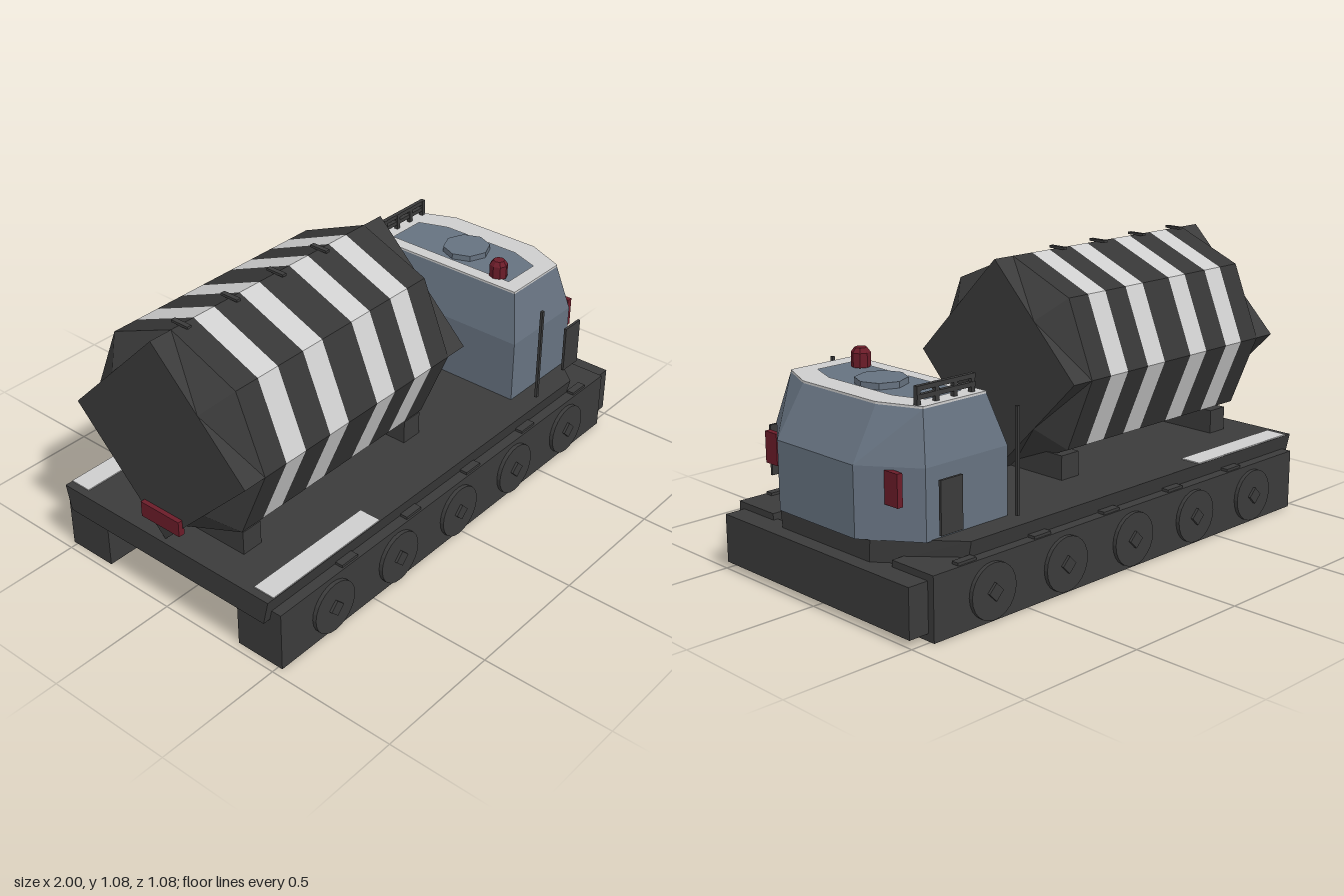
import * as THREE from 'three';
import { ConvexGeometry } from 'three/addons/geometries/ConvexGeometry.js';

const material = (name, color) =>
  Object.assign(new THREE.MeshStandardMaterial({ color, flatShading: true }), { name });

export function createModel() {
  const model = new THREE.Group();
  const dark = material('charcoal', 0x3b3b3b);
  const band = material('dark band', 0x363636);
  const light = material('light grey', 0xcecece);
  const blue = material('slate blue', 0x667280);
  const red = material('dark red', 0x6b1c29);

  const add = (name, geometry, mat) => {
    const mesh = new THREE.Mesh(geometry, mat);
    mesh.name = name;
    model.add(mesh);
    return mesh;
  };
  // Box given by its limits on each axis
  const box = (name, mat, x0, x1, y0, y1, z0, z1) => {
    const mesh = add(name, new THREE.BoxGeometry(x1 - x0, y1 - y0, z1 - z0), mat);
    mesh.position.set((x0 + x1) / 2, (y0 + y1) / 2, (z0 + z1) / 2);
  };
  const bothSides = (name, mat, x0, x1, y0, y1, z0, z1) => {
    box(name + 'Left', mat, x0, x1, y0, y1, z0, z1);
    box(name + 'Right', mat, x0, x1, y0, y1, -z1, -z0);
  };
  // Outline symmetric in z, from half of its corners [x, z]
  const outline = half => [...half, ...half.slice().reverse().map(([x, z]) => [x, -z])]
    .map(([x, z]) => new THREE.Vector2(x, z));
  const level = (half, y) => outline(half).map(p => new THREE.Vector3(p.x, y, p.y));

  // Chassis: tapered deck with chamfered nose, bumper and track housings
  add('deck', new ConvexGeometry([
    ...level([[-1, 0.49], [0.73, 0.49], [0.945, 0.24]], 0.288),
    ...level([[-1, 0.468], [0.73, 0.468], [0.943, 0.232]], 0.19)]), dark);
  box('bumper', dark, 0.9, 1, 0.027, 0.206, -0.49, 0.49);
  bothSides('track', dark, -0.97, 0.92, 0, 0.23, 0.318, 0.517);
  bothSides('deckPanel', light, -0.97, -0.435, 0.286, 0.292, 0.402, 0.488);

  // Wheels with square hubs, and small catches above them
  for (let i = 0; i < 5; i++) {
    const x = -0.717 + i * 0.346;
    for (const side of [1, -1]) {
      const wheel = add('wheel', new THREE.CylinderGeometry(0.1, 0.1, 0.02, 24), dark);
      wheel.rotation.x = Math.PI / 2;
      wheel.position.set(x, 0.11, side * 0.522);
      const hub = add('hub', new THREE.CylinderGeometry(0.032, 0.032, 0.012, 4), dark);
      hub.rotation.x = Math.PI / 2;
      hub.position.set(x, 0.11, side * 0.536);
    }
    bothSides('catch', dark, x + 0.06, x + 0.14, 0.225, 0.24, 0.48, 0.51);
  }

  // Octagonal tank: striped rings along x
  const radius = 0.392, axisY = 0.68;
  const edges = [-0.89, -0.79, -0.697, -0.578, -0.484, -0.337, -0.243, -0.134, -0.043, 0.055];
  const ring = (name, mat, x0, x1, start, segments) => {
    const geometry = new THREE.CylinderGeometry(radius, radius, x1 - x0, segments, 1, true,
      start, segments * Math.PI / 4);
    geometry.rotateZ(Math.PI / 2);
    add(name, geometry, mat).position.set((x0 + x1) / 2, axisY, 0);
  };
  for (let i = 0; i < edges.length - 1; i++) {
    const stripe = i % 2 === 1;
    ring('tankBand', stripe ? light : band, edges[i], edges[i + 1], -Math.PI / 4, 6);
    ring('tankBelly', stripe ? blue : band, edges[i], edges[i + 1], Math.PI * 1.25, 2);
  }

  // Tank ends: the octagon folds in to a square end face standing on its corner
  const tankEnd = (inner, outer) => {
    const positions = [];
    const at = (x, k, r) => [x, axisY + r * Math.sin(k * Math.PI / 4), r * Math.cos(k * Math.PI / 4)];
    const triangle = (a, b, c) =>
      positions.push(...a, ...(outer < inner ? [...b, ...c] : [...c, ...b]));
    const centre = [outer, axisY, 0];
    for (let k = 1; k < 8; k += 2) {
      const corner = at(inner, k, radius);
      const middle = at(outer, k, radius * Math.SQRT1_2);
      const [a, b] = [at(inner, k - 1, radius), at(inner, k + 1, radius)];
      const [aOut, bOut] = [at(outer, k - 1, radius), at(outer, k + 1, radius)];
      triangle(a, corner, middle);
      triangle(a, middle, aOut);
      triangle(b, middle, corner);
      triangle(b, bOut, middle);
      triangle(centre, aOut, middle);
      triangle(centre, middle, bOut);
    }
    const geometry = new THREE.BufferGeometry();
    geometry.setAttribute('position', new THREE.Float32BufferAttribute(positions, 3));
    geometry.computeVertexNormals();
    add('tankEnd', geometry, dark);
  };
  tankEnd(-0.89, -0.982);
  tankEnd(0.055, 0.147);

  // Cleats, saddles and rear lamp
  for (const x of [-0.845, -0.62, -0.4, -0.18])
    box('tankCleat', dark, x - 0.009, x + 0.009, 1.07, 1.079, -0.037, 0.037);
  box('rearSaddle', dark, -0.87, -0.785, 0.28, 0.38, -0.26, 0.26);
  box('frontSaddle', dark, -0.02, 0.068, 0.28, 0.38, -0.26, 0.26);
  box('rearLamp', red, -1, -0.975, 0.352, 0.412, -0.09, 0.09);

  // Cab: straight lower walls, tapered upper walls
  const lower = [[0.47, 0.392], [0.835, 0.392], [0.975, 0.2]];
  const roof = [[0.52, 0.345], [0.8, 0.345], [0.866, 0.19]];
  add('cab', new ConvexGeometry(
    [...level(lower, 0.285), ...level(lower, 0.535), ...level(roof, 0.715)]), blue);

  // Raised light rim round the roof
  const rim = new THREE.Shape(outline(roof));
  rim.holes.push(new THREE.Path(outline([[0.572, 0.28], [0.733, 0.28], [0.775, 0.165]])));
  const rimGeometry = new THREE.ExtrudeGeometry(rim, { depth: 0.009, bevelEnabled: false });
  rimGeometry.rotateX(-Math.PI / 2).translate(0, 0.714, 0);
  add('roofRim', rimGeometry, light);

  // Roof hatch, beacon and rail
  const hatch = add('hatch', new THREE.CylinderGeometry(0.092, 0.092, 0.025, 8), blue);
  hatch.position.set(0.68, 0.725, 0);
  const beaconProfile = [[0, 0], [0.035, 0], [0.035, 0.052], [0.022, 0.069], [0, 0.069]]
    .map(([r, y]) => new THREE.Vector2(r, y));
  const beacon = add('beacon', new THREE.LatheGeometry(beaconProfile, 8), red);
  beacon.position.set(0.588, 0.72, 0.22);
  for (const y of [0.75, 0.779])
    box('railBar', dark, 0.552, 0.806, y - 0.008, y + 0.008, -0.326, -0.31);
  for (const x of [0.56, 0.638, 0.718, 0.798])
    box('railPost', dark, x - 0.008, x + 0.008, 0.715, 0.787, -0.324, -0.308);

  // Cab side plates, poles and front lamps
  bothSides('doorPlate', dark, 0.73, 0.825, 0.32, 0.507, 0.443, 0.453);
  bothSides('pole', dark, 0.504, 0.516, 0.32, 0.697, 0.474, 0.485);
  bothSides('frontLamp', red, 0.895, 0.917, 0.41, 0.525, 0.285, 0.349);

  return model;
}
